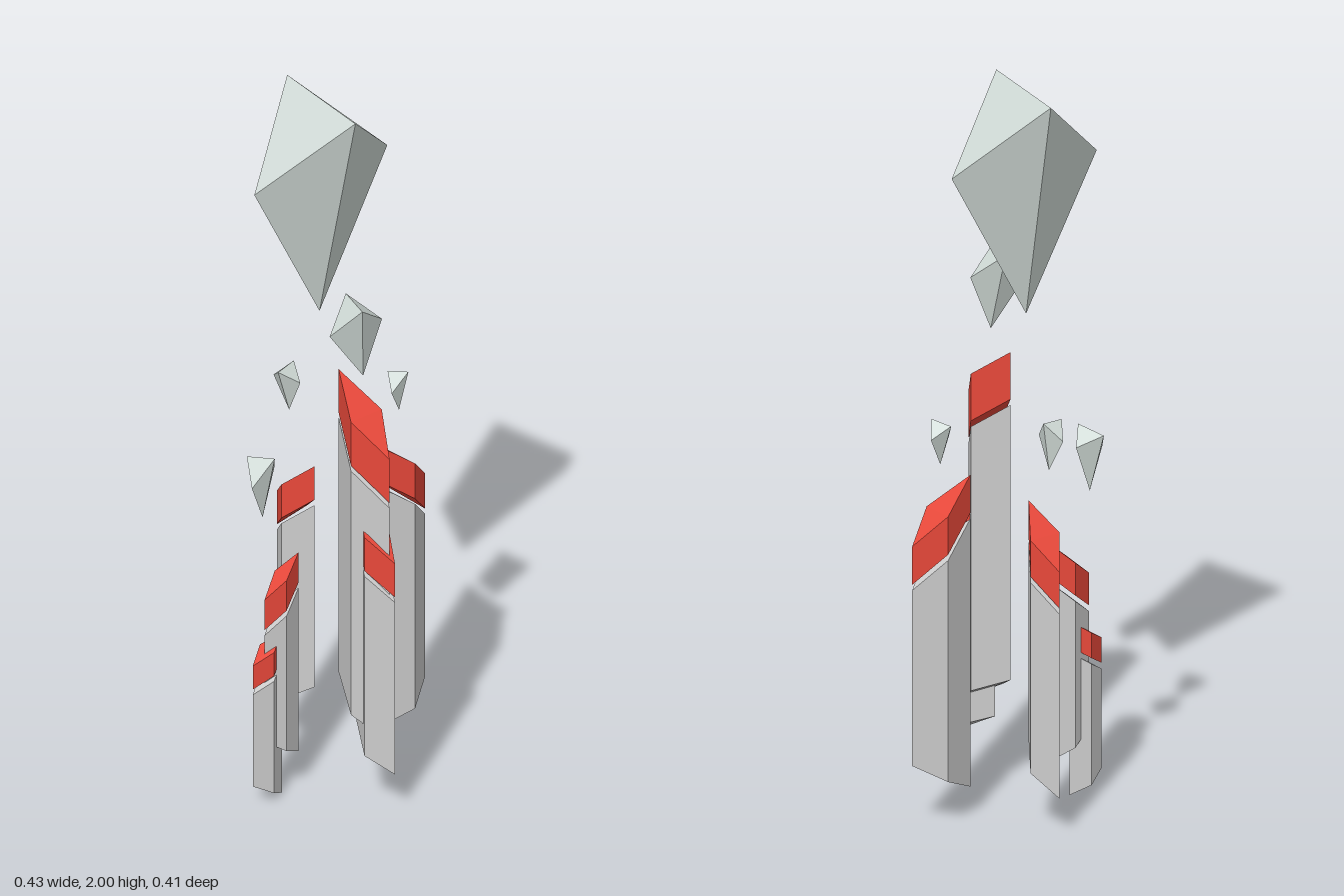
import * as THREE from 'three';
import { ConvexGeometry } from 'three/addons/geometries/ConvexGeometry.js';

const stone = new THREE.MeshStandardMaterial({ color: 0xcccccc, flatShading: true });
const crystalMat = new THREE.MeshStandardMaterial({ color: 0xd0dad6, flatShading: true });
const red = new THREE.MeshStandardMaterial({ color: 0xe8483a, flatShading: true });

const hull = (name, points, material) => {
  const mesh = new THREE.Mesh(
    new ConvexGeometry(points.map((p) => new THREE.Vector3(...p))), material);
  mesh.name = name;
  return mesh;
};

// Four-sided prism between two slanted ends; corners are [x, z]
const prism = (name, corners, tops, bottoms, material) =>
  hull(name, corners.flatMap(([x, z], i) => [[x, tops[i], z], [x, bottoms[i], z]]), material);

// Pillar: stone shaft, thin gap, red slanted cap.
// Corners run inner, side, outer, side; heights are given at inner and outer corners.
function pillar({ name, corners, top, bottom, cap }) {
  const slope = ([inner, outer]) => [inner, (inner + outer) / 2, outer, (inner + outer) / 2];
  const gap = 0.016;
  const tops = slope(top);
  const group = new THREE.Group();
  group.name = name;
  group.add(
    prism('redCap', corners, tops, tops.map((y) => y - cap), red),
    prism('shaft', corners, tops.map((y) => y - cap - gap), slope(bottom), stone));
  return group;
}

const PILLARS = [
  { name: 'frontLeftTallPillar', top: [1.24, 1.065], bottom: [0.335, 0.22], cap: 0.13,
    corners: [[0.015, 0.05], [0.058, 0.165], [0.16, 0.195], [0.13, 0.093]] },
  { name: 'frontLeftShortPillar', top: [0.89, 0.76], bottom: [0.215, 0.13], cap: 0.1,
    corners: [[0.065, 0.09], [0.095, 0.19], [0.175, 0.205], [0.15, 0.128]] },
  { name: 'backLeftPillar', top: [0.945, 0.785], bottom: [0.085, 0.18], cap: 0.105,
    corners: [[0.09, -0.08], [0.125, -0.178], [0.213, -0.207], [0.195, -0.122]] },
  { name: 'backRightPillar', top: [0.88, 0.735], bottom: [0.22, 0.11], cap: 0.1,
    corners: [[-0.058, -0.058], [-0.085, -0.15], [-0.165, -0.168], [-0.145, -0.08]] },
  { name: 'frontRightPillar', top: [0.705, 0.605], bottom: [0.11, 0.18], cap: 0.09,
    corners: [[-0.085, 0.08], [-0.11, 0.14], [-0.165, 0.16], [-0.145, 0.095]] },
  { name: 'frontRightSmallPillar', top: [0.485, 0.42], bottom: [0.005, 0.06], cap: 0.07,
    corners: [[-0.125, 0.115], [-0.14, 0.165], [-0.193, 0.183], [-0.18, 0.128]] },
];

// Floating crystals: two ridge points, two shoulder points, lower tip
const CRYSTALS = [
  ['largeCrystal', [[-0.135, 2, -0.135], [0.062, 2, 0.09],
    [-0.195, 1.79, 0.12], [0.12, 1.79, -0.16], [-0.04, 1.375, -0.01]]],
  ['frontLeftCrystal', [[0.037, 1.49, 0.087], [0.088, 1.49, 0.175],
    [0.003, 1.405, 0.165], [0.13, 1.42, 0.088], [0.085, 1.27, 0.125]]],
  ['frontRightCrystal', [[-0.215, 1.005, 0.115], [-0.14, 1.02, 0.145],
    [-0.195, 0.95, 0.183], [-0.145, 0.97, 0.102], [-0.172, 0.84, 0.14]]],
  ['backLeftCrystal', [[0.12, 1.11, -0.167], [0.175, 1.12, -0.152],
    [0.165, 1.08, -0.2], [0.135, 1.07, -0.122], [0.15, 1.0, -0.16]]],
  ['backRightCrystal', [[-0.155, 1.13, -0.1], [-0.12, 1.135, -0.155],
    [-0.172, 1.09, -0.155], [-0.1, 1.09, -0.12], [-0.13, 1.0, -0.135]]],
];

export function createModel() {
  const model = new THREE.Group();
  model.name = 'crystalPillars';
  PILLARS.forEach((p) => model.add(pillar(p)));
  CRYSTALS.forEach(([name, points]) => model.add(hull(name, points, crystalMat)));
  return model;
}
